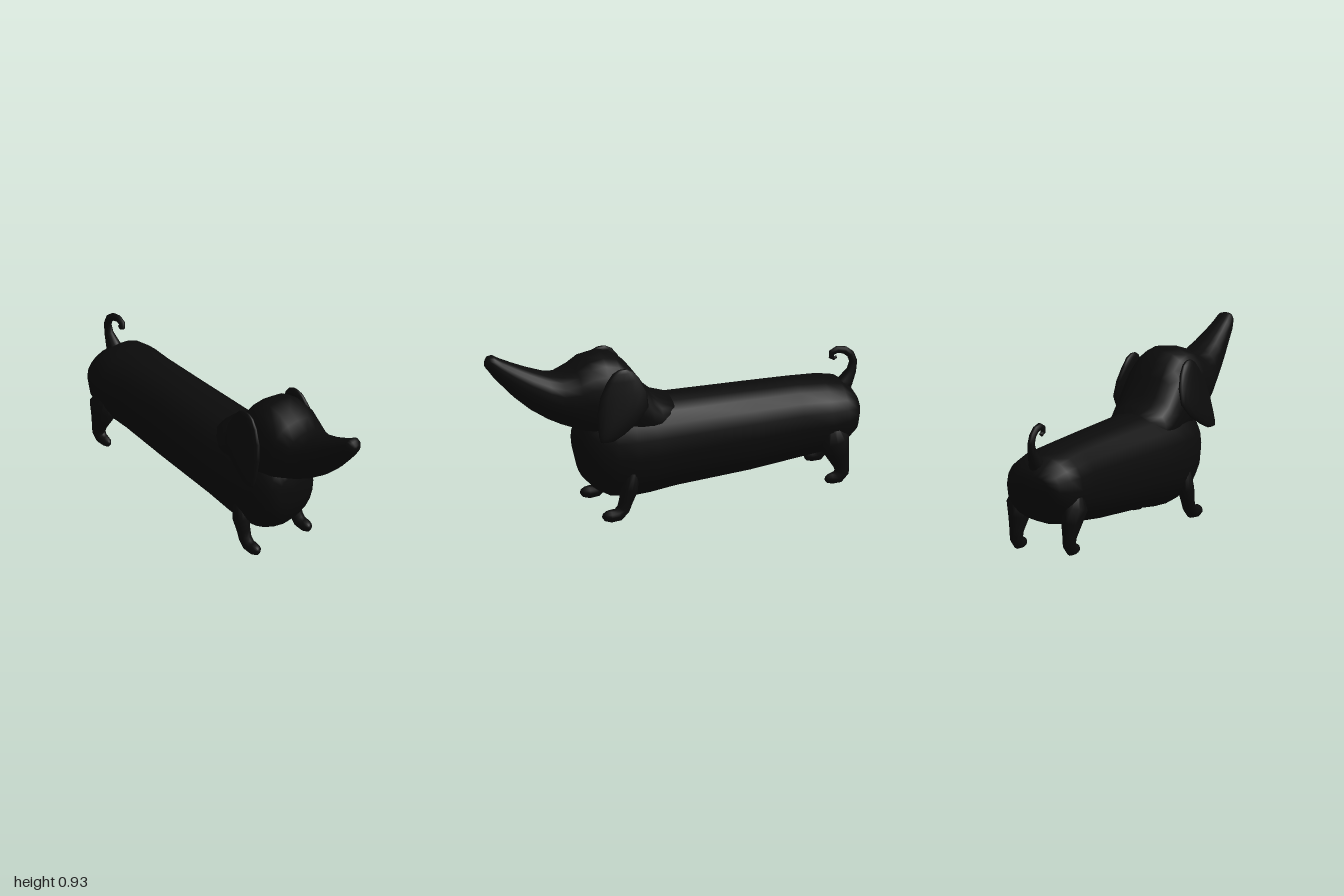
import * as THREE from 'three';

const coat = new THREE.MeshStandardMaterial({ color: 0x0b0b0b });

// Skin a list of rings (arrays of Vector3) into a closed smooth surface
function loft(rings, name) {
  const n = rings[0].length, pos = [], idx = [];
  rings.forEach(r => r.forEach(p => pos.push(p.x, p.y, p.z)));
  for (let i = 0; i < rings.length - 1; i++)
    for (let j = 0; j < n; j++) {
      const a = i * n + j, b = i * n + (j + 1) % n;
      idx.push(a, b, b + n, a, b + n, a + n);
    }
  // end caps
  [0, rings.length - 1].forEach(i => {
    const c = new THREE.Vector3();
    rings[i].forEach(p => c.addScaledVector(p, 1 / n));
    const k = pos.length / 3;
    pos.push(c.x, c.y, c.z);
    for (let j = 0; j < n; j++) {
      const a = i * n + j, b = i * n + (j + 1) % n;
      if (i === 0) idx.push(k, b, a); else idx.push(k, a, b);
    }
  });
  const g = new THREE.BufferGeometry();
  g.setAttribute('position', new THREE.Float32BufferAttribute(pos, 3));
  g.setIndex(idx);
  g.computeVertexNormals();
  const mesh = new THREE.Mesh(g, coat);
  mesh.name = name;
  return mesh;
}

// Unit superellipse outline
function outline(n, power) {
  const pw = v => Math.sign(v) * Math.abs(v) ** (2 / power);
  return Array.from({ length: n }, (_, j) => {
    const a = j / n * Math.PI * 2;
    return [pw(Math.cos(a)), pw(Math.sin(a))];
  });
}

// Slices along z: [z, bottom, top, half width]
const trunk = (rows, power, name) => loft(rows.map(([z, b, t, w]) =>
  outline(20, power).map(([u, v]) =>
    new THREE.Vector3(w * u, (b + t) / 2 + v * (t - b) / 2, z))), name);

// Sweep in the plane of constant x: [z, y, radius]
function limb(x, rows, name, wide = 1) {
  const pts = rows.map(([z, y]) => new THREE.Vector3(x, y, z));
  return loft(rows.map(([, , r], i) => {
    const t = pts[Math.min(i + 1, pts.length - 1)].clone()
      .sub(pts[Math.max(i - 1, 0)]).normalize();
    return outline(12, 2).map(([u, v]) => new THREE.Vector3(
      x + v * r * wide, pts[i].y - t.z * u * r, pts[i].z + t.y * u * r));
  }), name);
}

export function createModel() {
  const dog = new THREE.Group();
  dog.name = 'dog';

  // Long body, rump to chest
  dog.add(trunk([
    [-0.977, 0.34, 0.46, 0.1], [-0.95, 0.27, 0.505, 0.155],
    [-0.89, 0.215, 0.55, 0.192], [-0.8, 0.18, 0.568, 0.203],
    [-0.65, 0.16, 0.578, 0.19], [-0.4, 0.13, 0.584, 0.193],
    [0, 0.102, 0.59, 0.205], [0.14, 0.083, 0.597, 0.209],
    [0.25, 0.076, 0.6, 0.21], [0.35, 0.092, 0.59, 0.2],
    [0.42, 0.132, 0.57, 0.178], [0.48, 0.2, 0.53, 0.145],
    [0.506, 0.3, 0.47, 0.1]], 2.2, 'body'));

  // Neck, skull and upturned snout
  dog.add(trunk([
    [0.02, 0.4, 0.592, 0.13], [0.1, 0.38, 0.615, 0.165],
    [0.15, 0.38, 0.66, 0.175], [0.21, 0.38, 0.745, 0.178],
    [0.26, 0.39, 0.81, 0.178], [0.32, 0.4, 0.855, 0.178],
    [0.39, 0.42, 0.87, 0.18], [0.47, 0.46, 0.855, 0.177],
    [0.53, 0.487, 0.815, 0.167], [0.61, 0.52, 0.785, 0.142],
    [0.68, 0.556, 0.797, 0.118], [0.77, 0.617, 0.833, 0.093],
    [0.85, 0.69, 0.87, 0.073], [0.92, 0.768, 0.905, 0.057],
    [0.96, 0.815, 0.93, 0.049], [0.985, 0.85, 0.925, 0.038],
    [1, 0.87, 0.905, 0.02]], 2.4, 'head'));

  // Curled tail
  dog.add(limb(0, [
    [-0.9, 0.48, 0.055], [-0.935, 0.53, 0.04], [-0.965, 0.58, 0.026],
    [-0.975, 0.63, 0.021], [-0.96, 0.67, 0.02], [-0.93, 0.695, 0.02],
    [-0.89, 0.704, 0.019], [-0.86, 0.69, 0.017], [-0.857, 0.668, 0.014],
    [-0.872, 0.659, 0.011], [-0.886, 0.664, 0.006]], 'tail', 0.85));

  for (const [s, side] of [[1, 'left'], [-1, 'right']]) {
    // Hanging ears, slices along y: [y, centre z, half depth, centre x, half thickness]
    dog.add(loft([
      [0.473, 0.425, 0.035, 0.234, 0.01], [0.5, 0.4, 0.068, 0.228, 0.017],
      [0.55, 0.362, 0.108, 0.215, 0.024], [0.62, 0.33, 0.137, 0.199, 0.028],
      [0.7, 0.322, 0.125, 0.183, 0.027], [0.77, 0.32, 0.088, 0.17, 0.024],
      [0.81, 0.32, 0.055, 0.165, 0.018], [0.826, 0.32, 0.025, 0.163, 0.008]
    ].map(([y, zc, d, xc, t]) => outline(16, 2).map(([u, v]) =>
      new THREE.Vector3(s * xc + t * v, y, zc + d * u))), side + 'Ear'));

    // Short front leg with forward paw
    dog.add(limb(s * 0.168, [
      [0.27, 0.26, 0.035], [0.285, 0.17, 0.045], [0.305, 0.105, 0.036],
      [0.318, 0.065, 0.034], [0.345, 0.038, 0.034], [0.385, 0.034, 0.033],
      [0.412, 0.037, 0.026], [0.426, 0.042, 0.012]], side + 'FrontLeg', 0.95));

    // Hind leg with thigh tapering to the paw
    dog.add(limb(s * 0.155, [
      [-0.8, 0.37, 0.04], [-0.815, 0.28, 0.085], [-0.838, 0.2, 0.06],
      [-0.856, 0.14, 0.043], [-0.858, 0.1, 0.039], [-0.836, 0.074, 0.035],
      [-0.805, 0.07, 0.029], [-0.782, 0.07, 0.023], [-0.77, 0.072, 0.01]],
      side + 'HindLeg', 0.8));
  }
  return dog;
}
